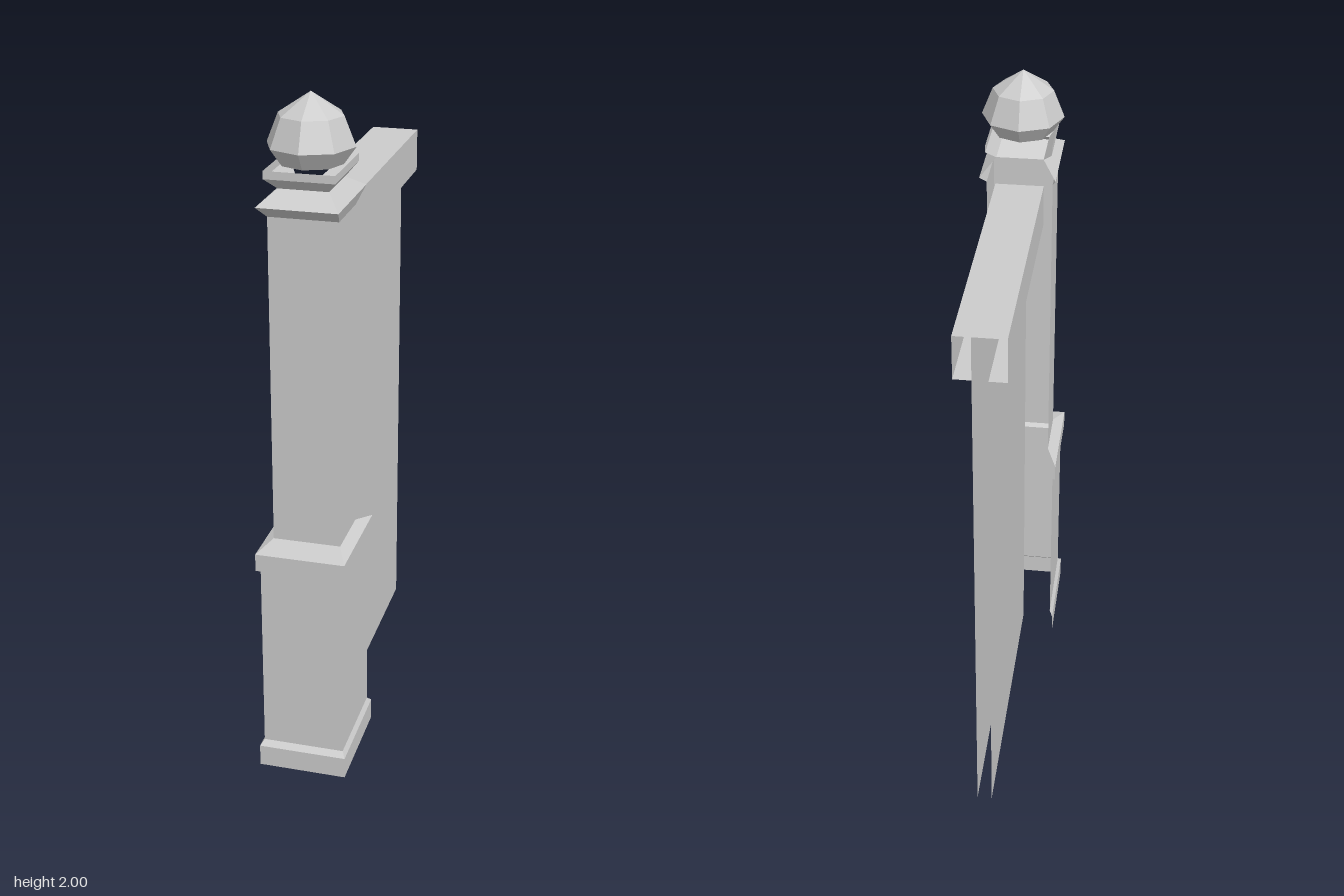
import * as THREE from 'three';

const grey = new THREE.MeshStandardMaterial({ color: 0xcccccc, side: THREE.DoubleSide, flatShading: true });

// Three-sided shell, open at the back: each ring is [y, half width, back z, front z]
function openShell(name, rings) {
  const pos = [];
  const corners = ([y, w, b, f]) => [[w, y, b], [w, y, f], [-w, y, f], [-w, y, b]];
  for (let i = 0; i < rings.length - 1; i++) {
    const lo = corners(rings[i]), hi = corners(rings[i + 1]);
    for (let k = 0; k < 3; k++) {
      pos.push(...lo[k + 1], ...lo[k], ...hi[k], ...lo[k + 1], ...hi[k], ...hi[k + 1]);
    }
  }
  return meshFrom(name, pos);
}

// Open sheet: a line of [x, y] points swept along z
function sweptSheet(name, points, z0, z1) {
  const pos = [];
  for (let i = 0; i < points.length - 1; i++) {
    const [a, b] = [points[i], points[i + 1]];
    pos.push(...a, z1, ...a, z0, ...b, z0, ...a, z1, ...b, z0, ...b, z1);
  }
  return meshFrom(name, pos);
}

function meshFrom(name, pos) {
  const g = new THREE.BufferGeometry();
  g.setAttribute('position', new THREE.Float32BufferAttribute(pos, 3));
  g.computeVertexNormals();
  const m = new THREE.Mesh(g, grey);
  m.name = name;
  return m;
}

export function createModel() {
  const model = new THREE.Group();
  model.name = 'fencePostAndPanel';

  // Post, from the plinth up to the moulded cap
  const post = new THREE.Group();
  post.name = 'post';
  post.add(
    openShell('plinth', [[0, 0.13, 0.237, 0.557], [0.065, 0.13, 0.237, 0.557], [0.08, 0.12, 0.253, 0.541]]),
    openShell('lowerShaft', [[0.08, 0.12, 0.253, 0.541], [0.65, 0.12, 0.253, 0.541]]),
    openShell('band', [
      [0.65, 0.12, 0.253, 0.541], [0.658, 0.13, 0.237, 0.557],
      [0.71, 0.13, 0.237, 0.557], [0.728, 0.098, 0.312, 0.482],
    ]),
    openShell('upperShaft', [[0.728, 0.098, 0.312, 0.482], [1.68, 0.098, 0.312, 0.482]]),
    openShell('cap', [
      [1.68, 0.098, 0.312, 0.482], [1.72, 0.112, 0.253, 0.541], [1.757, 0.07, 0.318, 0.476],
      [1.79, 0.097, 0.278, 0.515], [1.812, 0.097, 0.278, 0.515],
    ]),
  );

  // Faceted ball finial
  const profile = [[0, 1.812], [0.088, 1.812], [0.122, 1.86], [0.09, 1.94], [0, 2]];
  const ball = new THREE.Mesh(
    new THREE.LatheGeometry(profile.map(([x, y]) => new THREE.Vector2(x, y)), 8), grey);
  ball.name = 'ballFinial';
  ball.position.z = 0.397;
  post.add(ball);
  model.add(post);

  // Hollow panel of two thin sheets under a hollow top rail
  const panel = new THREE.Group();
  panel.name = 'panel';
  const back = -0.557, front = 0.312, wall = 0.022, rail = 0.072, under = 1.545, top = 1.675;
  panel.add(
    sweptSheet('leftSheet', [[wall, 0], [wall, top]], back, front),
    sweptSheet('rightSheet', [[-wall, top], [-wall, 0]], back, front),
    sweptSheet('topRail', [[wall, under], [rail, under], [rail, top], [-rail, top], [-rail, under], [-wall, under]], back, front),
  );
  model.add(panel);
  return model;
}
